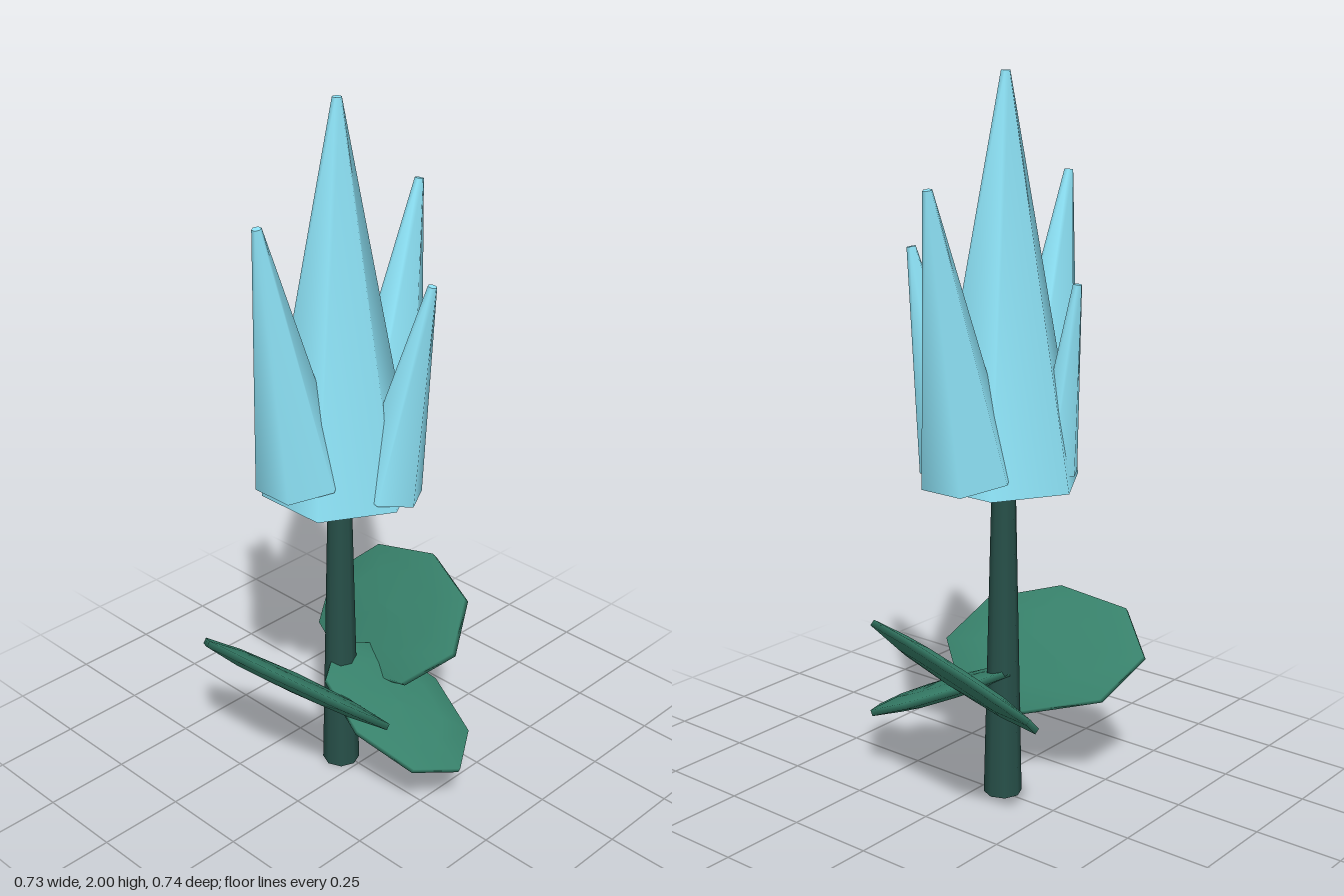
import * as THREE from 'three';

const petalMat = new THREE.MeshStandardMaterial({ color: 0x8ee4f8 });
const leafMat = new THREE.MeshStandardMaterial({ color: 0x37806a });
const stemMat = new THREE.MeshStandardMaterial({ color: 0x275049 });
const V = (p) => new THREE.Vector3(...p);

// Tapered tube from the centre of its base to the centre of its tip
function taper(name, base, tip, rBase, rTip, sides, material) {
  const axis = V(tip).sub(V(base));
  const mesh = new THREE.Mesh(new THREE.CylinderGeometry(rTip, rBase, axis.length(), sides), material);
  mesh.position.copy(V(base)).addScaledVector(axis, 0.5);
  mesh.quaternion.setFromUnitVectors(new THREE.Vector3(0, 1, 0), axis.normalize());
  mesh.name = name;
  return mesh;
}

// Half profile of a leaf: a shallow lens with a thin rim
const lens = [[0, -0.028], [0.6, -0.022], [0.97, -0.009], [0.97, 0.009], [0.6, 0.022], [0, 0.028]]
  .map(([r, y]) => new THREE.Vector2(r, y));

// Eight-sided oval lens, given its centre and its long and short half axes
function leaf(name, centre, long, short) {
  const a = V(long), b = V(short);
  const up = new THREE.Vector3().crossVectors(a, b).normalize();
  // local +z follows the long axis, local +x the short one
  const geo = new THREE.LatheGeometry(lens, 8);
  geo.applyMatrix4(new THREE.Matrix4().makeBasis(b, up, a));
  const mesh = new THREE.Mesh(geo, leafMat);
  mesh.position.set(...centre);
  mesh.name = name;
  return mesh;
}

export function createModel() {
  const flower = new THREE.Group();
  flower.name = 'flower';

  // Stem
  flower.add(taper('stem', [-0.01, 0, -0.063], [-0.01, 0.95, -0.063], 0.054, 0.032, 8, stemMat));

  // Bloom: one tall spike ringed by four leaning ones
  const spikes = [
    ['centreSpike', [-0.01, 0.917, -0.065], [-0.01, 2, -0.065], 0.218],
    ['rightSpike', [-0.158, 1.0, -0.06], [-0.292, 1.73, -0.06], 0.126],
    ['leftSpike', [0.15, 0.962, -0.072], [0.304, 1.722, -0.072], 0.131],
    ['frontSpike', [0.027, 0.945, 0.08], [0.088, 1.54, 0.176], 0.102],
    ['backSpike', [-0.06, 0.958, -0.195], [-0.083, 1.46, -0.247], 0.068],
  ];
  for (const [name, base, tip, r] of spikes) {
    flower.add(taper(name, base, tip, r, 0.013, 6, petalMat));
  }

  // Leaves
  flower.add(leaf('leftLeaf', [0.2, 0.414, -0.06], [0.07, -0.025, -0.317], [0.164, 0.144, 0.026]));
  flower.add(leaf('rightLeaf', [-0.208, 0.367, -0.052], [-0.066, 0.031, -0.317], [-0.157, 0.139, 0.048]));
  flower.add(leaf('frontLeaf', [0.021, 0.262, 0.133], [0.012, -0.114, 0.24], [0.171, 0.007, -0.002]));

  return flower;
}
